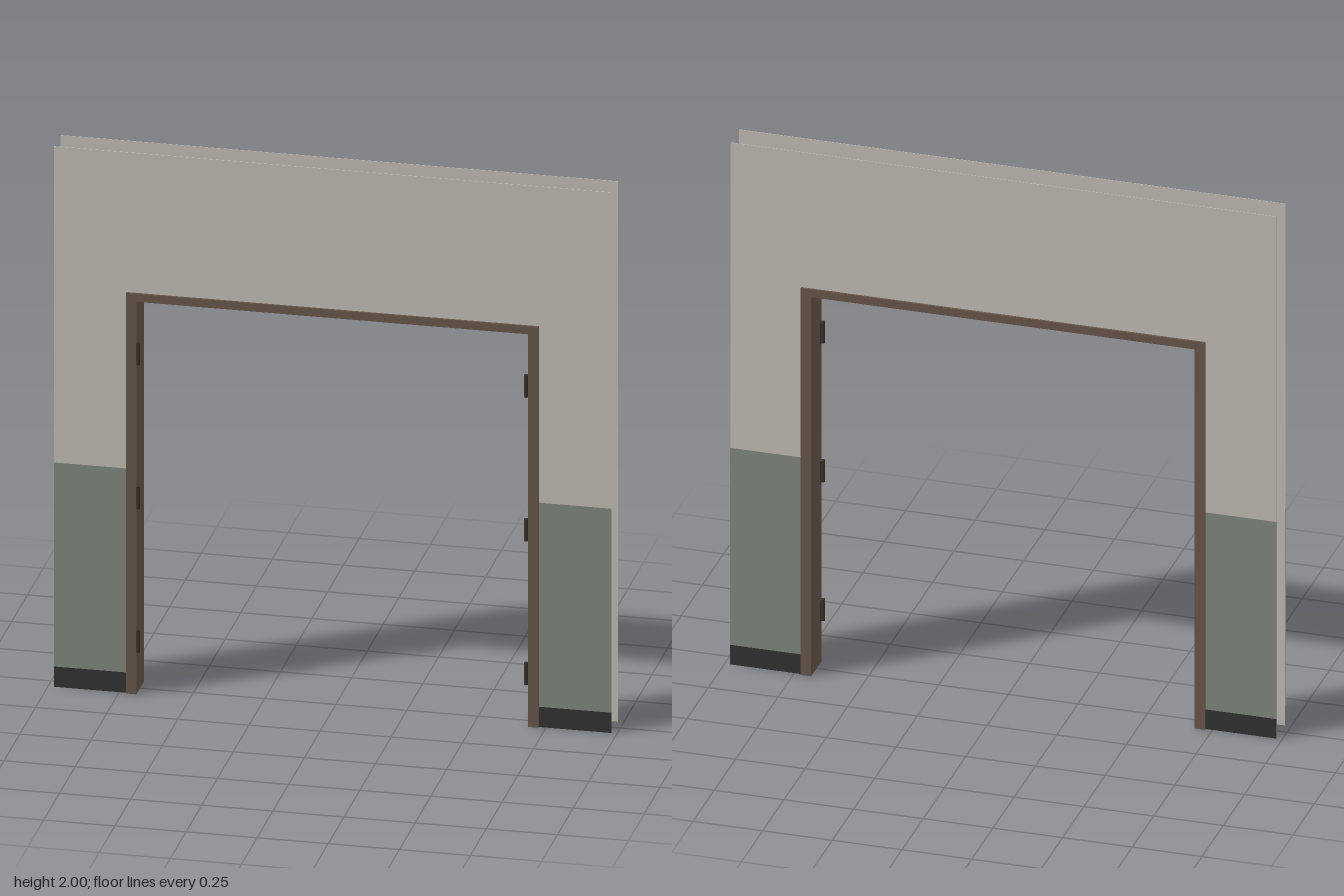
import * as THREE from 'three';

const material = (name, color) => {
  const m = new THREE.MeshStandardMaterial({ color });
  m.name = name;
  return m;
};

// Outline of an upside-down U, standing on the floor
function archShape(outerX, outerY, innerX, innerY) {
  return new THREE.Shape([
    [-outerX, 0], [-innerX, 0], [-innerX, innerY], [innerX, innerY],
    [innerX, 0], [outerX, 0], [outerX, outerY], [-outerX, outerY],
  ].map(([x, y]) => new THREE.Vector2(x, y)));
}

export function createModel() {
  const plaster = material('pale plaster', 0xc2beb5);
  const green = material('grey green paint', 0x80877e);
  const skirting = material('dark skirting', 0x333333);
  const wood = material('brown frame', 0x68574a);
  const metal = material('dark hinge metal', 0x3a322b);

  const model = new THREE.Group();
  model.name = 'doorway';

  const add = (name, geometry, mat, x = 0, y = 0, z = 0) => {
    const mesh = new THREE.Mesh(geometry, mat);
    mesh.name = name;
    mesh.position.set(x, y, z);
    model.add(mesh);
  };
  const arch = (name, dims, z0, z1, mat) => add(name,
    new THREE.ExtrudeGeometry(archShape(...dims), { depth: z1 - z0, bevelEnabled: false }),
    mat, 0, 0, z0);

  const W = 0.98, H = 2;              // wall half width and height
  const inX = 0.688, inY = 1.453;     // clear opening
  const outX = 0.725, outY = 1.483;   // outer edge of the casing
  const zFront = 0.05, zBack = -0.056;

  // Two thin wall skins with a hollow between them
  const skin = 0.002;
  arch('frontWall', [W, H, inX + 0.003, inY + 0.003], zFront - skin, zFront, plaster);
  arch('backWall', [W, H, inX + 0.003, inY + 0.003], zBack, zBack + skin, plaster);

  // Casing around the opening on both faces, and the lining through it
  arch('frontCasing', [outX, outY, inX, inY], zFront, 0.058, wood);
  arch('backCasing', [outX, outY, inX, inY], -0.064, zBack, wood);
  arch('frameLining', [inX + 0.003, inY + 0.003, inX, inY], zBack, zFront, wood);

  // Painted bands and skirting on the outer faces only
  const bandWidth = W - outX;
  for (const side of [-1, 1]) {
    const x = side * (W + outX) / 2;
    for (const [face, z] of [['front', zFront + 0.0005], ['back', zBack - 0.0005]]) {
      add(face + 'PaintBand', new THREE.BoxGeometry(bandWidth, 0.755, 0.001), green, x, 0.4525, z);
      add(face + 'Skirting', new THREE.BoxGeometry(bandWidth, 0.075, 0.001), skirting, x, 0.0375, z);
    }

    // Three hinges on each jamb: knuckle and slim leaf
    for (const y of [0.198, 0.73, 1.262]) {
      add('hingeKnuckle', new THREE.CylinderGeometry(0.007, 0.007, 0.082, 12), metal,
        side * 0.682, y, 0.06);
      add('hingeLeaf', new THREE.BoxGeometry(0.002, 0.082, 0.016), metal,
        side * 0.687, y, 0.05);
    }
  }
  return model;
}
